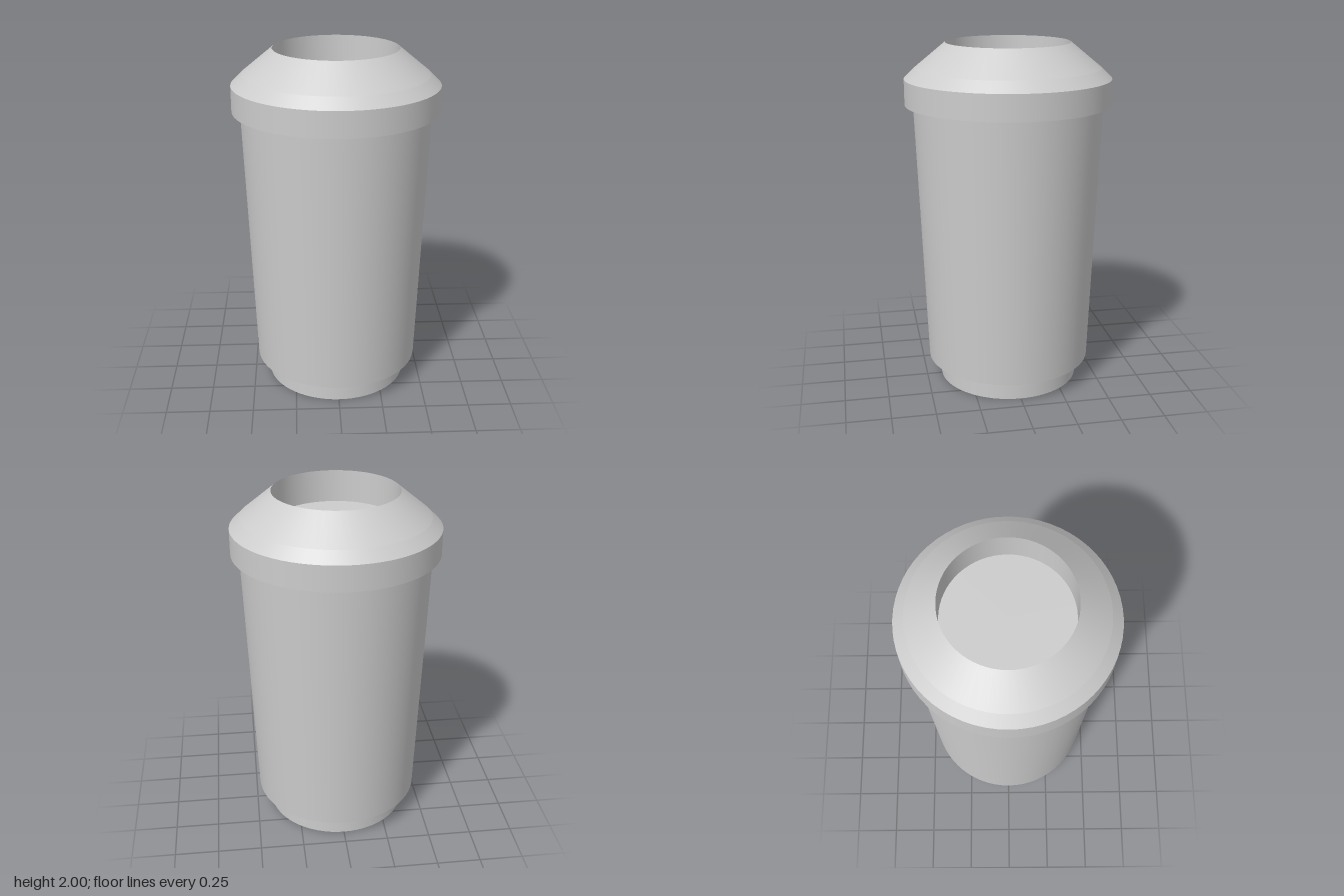
import * as THREE from 'three';
import { mergeGeometries } from 'three/addons/utils/BufferGeometryUtils.js';

const SEGMENTS = 64;

// Turns a profile into a solid of revolution, with a sharp edge at each point.
// The profile runs up the outside and down the inside.
function turned(name, profile, material) {
  const bands = [];
  for (let i = 0; i < profile.length - 1; i++) {
    const pair = [profile[i], profile[i + 1]].map(([r, y]) => new THREE.Vector2(r, y));
    bands.push(new THREE.LatheGeometry(pair, SEGMENTS));
  }
  const mesh = new THREE.Mesh(mergeGeometries(bands), material);
  mesh.name = name;
  return mesh;
}

export function createModel() {
  const grey = new THREE.MeshStandardMaterial({ color: 0xcccccc });
  grey.name = 'light grey';

  const cup = new THREE.Group();
  cup.name = 'cup';

  // Narrow foot under the cup
  cup.add(turned('foot', [[0, 0], [0.41, 0], [0.41, 0.125]], grey));

  // Tapered body with its underside step
  cup.add(turned('body', [[0.41, 0.125], [0.48, 0.125], [0.538, 1.655]], grey));

  // Upright lid collar with its lower lip
  cup.add(turned('lidCollar', [[0.538, 1.655], [0.585, 1.655], [0.585, 1.8]], grey));

  // Sloping lid shoulder
  cup.add(turned('lidShoulder', [[0.585, 1.8], [0.525, 1.858], [0.352, 2]], grey));

  // Round recess in the top
  cup.add(turned('lidRecess', [[0.352, 2], [0.352, 1.817], [0, 1.817]], grey));

  return cup;
}
